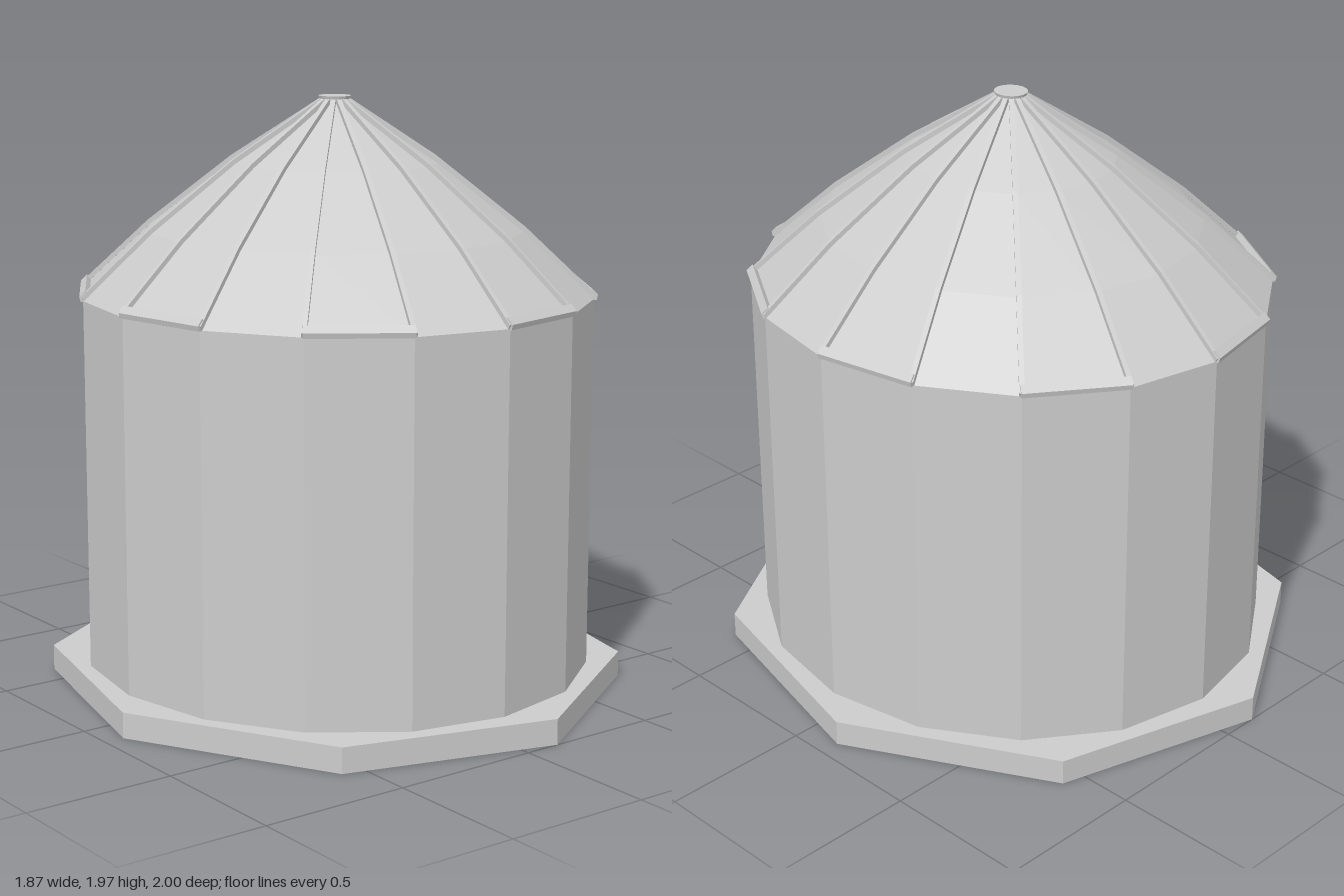
import * as THREE from 'three';

const SIDES = 16;
const RADIUS = 0.83;
// Roof profile from eave to peak: [radius, height]
const ROOF = [[RADIUS, 1.32], [0.605, 1.535], [0.33, 1.755], [0.03, 1.955]];

const steel = new THREE.MeshStandardMaterial({ color: 0xcccccc, flatShading: true });
steel.name = 'galvanised steel';

function part(parent, name, geometry) {
  const mesh = new THREE.Mesh(geometry, steel);
  mesh.name = name;
  parent.add(mesh);
  return mesh;
}

// Extrudes a [radius, height] outline sideways, centred on its spoke
function extrudeOutline(points, width) {
  const shape = new THREE.Shape(points.map(([x, y]) => new THREE.Vector2(x, y)));
  const geometry = new THREE.ExtrudeGeometry(shape, { depth: width, bevelEnabled: false });
  return geometry.translate(0, 0, -width / 2);
}

export function createModel() {
  const model = new THREE.Group();
  model.name = 'silo';

  // Eight-sided foundation slab, point-symmetric about the centre
  const half = [[0.12, -1], [0.75, -0.61], [0.935, 0.13], [0.575, 0.8]];
  const corners = [...half, ...half.map(([x, y]) => [-x, -y])];
  const slab = new THREE.ExtrudeGeometry(
    new THREE.Shape(corners.map(([x, y]) => new THREE.Vector2(x, y))),
    { depth: 0.085, bevelEnabled: false });
  part(model, 'foundation', slab.rotateX(-Math.PI / 2));

  // Everything above the slab is slightly deeper than wide
  const bin = new THREE.Group();
  bin.name = 'bin';
  bin.scale.z = 0.885 / RADIUS;
  model.add(bin);

  const wall = new THREE.CylinderGeometry(RADIUS, RADIUS, 1.235, SIDES, 1, true);
  part(bin, 'wall', wall.translate(0, 0.7025, 0));

  const profile = ROOF.map(([r, y]) => new THREE.Vector2(r, y));
  part(bin, 'roof', new THREE.LatheGeometry(profile, SIDES));

  const cap = new THREE.CylinderGeometry(0.053, 0.046, 0.024, SIDES);
  part(bin, 'peakCap', cap.translate(0, 1.958, 0));

  // Raised seams running from eave to peak
  const lift = 0.014;
  const seamOutline = [...ROOF, ...ROOF.map(([r, y]) => [r + lift * 0.5, y + lift]).reverse()];
  const seam = extrudeOutline(seamOutline, 0.016);
  const step = (Math.PI * 2) / SIDES;
  for (let i = 0; i < SIDES; i++) {
    part(bin, 'roofSeam', seam).rotation.y = i * step - Math.PI / 2;
  }

  // Eave rails on every second roof panel
  const a = RADIUS * Math.cos(step / 2);
  const rail = extrudeOutline(
    [[a - 0.01, 1.318], [a + 0.008, 1.318], [a + 0.012, 1.335], [a - 0.008, 1.356], [a - 0.022, 1.34]],
    2 * RADIUS * Math.sin(step / 2) + 0.008);
  for (let i = 0; i < SIDES; i += 2) {
    part(bin, 'eaveRail', rail).rotation.y = (i + 0.5) * step - Math.PI / 2;
  }

  return model;
}
